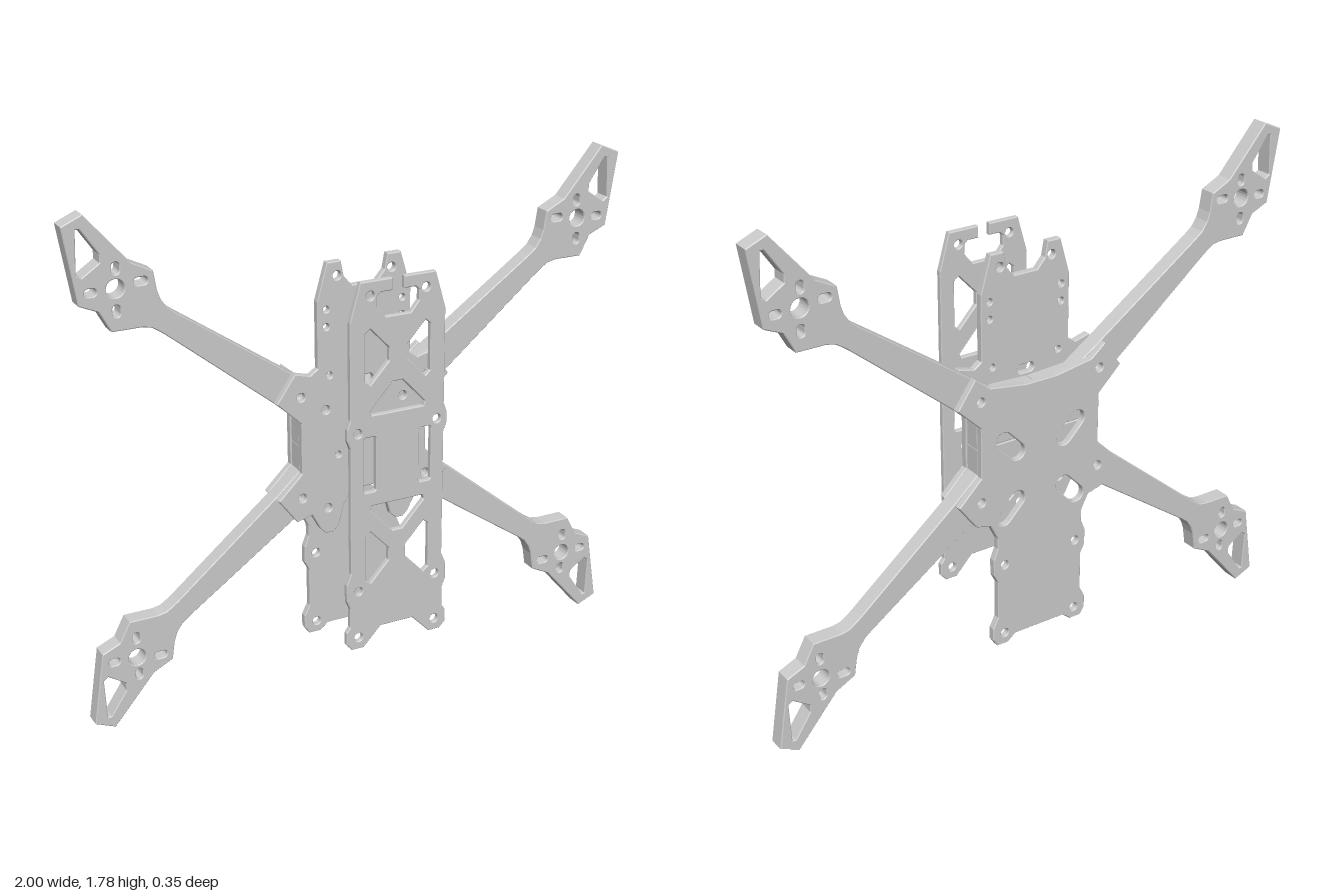
import * as THREE from 'three';

const material = new THREE.MeshStandardMaterial({ color: 0xcccccc });
const CY = 0.895; // height of the arm cross centre
const EDGE = 0.003; // small chamfer on every cut edge

// Closed path from a list of [x, y] points
const trace = (path, pts) => {
  pts.forEach(([x, y], i) => (i ? path.lineTo(x, y) : path.moveTo(x, y)));
  path.closePath();
  return path;
};
const poly = (pts) => trace(new THREE.Path(), pts);
const flipX = (pts) => pts.map(([x, y]) => [-x, y]);
const circle = (x, y, r) => new THREE.Path().absarc(x, y, r, 0, Math.PI * 2, true);

// Round-ended slot of centre length len, radius r, turned by angle a
function slot(x, y, len, r, a) {
  const dx = Math.cos(a) * len / 2, dy = Math.sin(a) * len / 2;
  const p = new THREE.Path();
  p.absarc(x + dx, y + dy, r, a - Math.PI / 2, a + Math.PI / 2, false);
  p.absarc(x - dx, y - dy, r, a + Math.PI / 2, a + Math.PI * 1.5, false);
  p.closePath();
  return p;
}

// Holes repeated on both sides of the centre line
const pairs = (list, r) => list.flatMap(([x, y]) => [circle(x, y, r), circle(-x, y, r)]);
const bothSides = (pts) => [poly(pts), poly(flipX(pts))];

// Full outline from the right half, listed from top centre to bottom centre
const symmetric = (half) => [...half, ...flipX(half).reverse()];

// Flat cut plate between two depths; the outline is always run anticlockwise
function plate(name, outline, holes, z0, z1) {
  const clockwise = THREE.ShapeUtils.isClockWise(outline.map(([x, y]) => ({ x, y })));
  const shape = trace(new THREE.Shape(), clockwise ? [...outline].reverse() : outline);
  shape.holes.push(...holes);
  const geo = new THREE.ExtrudeGeometry(shape, {
    depth: z1 - z0 - 2 * EDGE, curveSegments: 10,
    bevelSize: EDGE, bevelThickness: EDGE, bevelOffset: -EDGE, bevelSegments: 1,
  });
  geo.translate(0, 0, z0 + EDGE);
  const mesh = new THREE.Mesh(geo, material);
  mesh.name = name;
  return mesh;
}

// One arm with its motor mount, mirrored by sx and sy
function arm(name, sx, sy) {
  const m = (pts) => pts.map(([x, y]) => [sx * x, CY + sy * (y - CY)]);
  const at = (x, y) => m([[x, y]])[0];
  const outline = m([
    [0.001, CY + 0.001], [0.232, CY + 0.001], [0.232, 0.985], [0.32, 1.065], [0.685, 1.365],
    [0.705, 1.38], [0.73, 1.396], [0.76, 1.402], [0.86, 1.402], [0.897, 1.472], [0.96, 1.50],
    [1.0, 1.755], [0.93, 1.785], [0.785, 1.615], [0.715, 1.58], [0.705, 1.515],
    [0.695, 1.485], [0.675, 1.455], [0.65, 1.435], [0.255, 1.16], [0.15, 1.088], [0.001, 1.08],
  ]);
  const window = m([[0.955, 1.74], [0.942, 1.74], [0.885, 1.655], [0.885, 1.628], [0.945, 1.588], [0.961, 1.60]]);
  const holes = [
    poly(window),
    circle(...at(0.84, 1.54), 0.03),
    circle(...at(0.235, 1.08), 0.015),
    slot(...at(0.836, 1.604), 0.014, 0.013, Math.PI / 2),
    slot(...at(0.84, 1.467), 0.014, 0.013, Math.PI / 2),
    slot(...at(0.757, 1.552), 0.02, 0.013, 0),
    slot(...at(0.92, 1.538), 0.014, 0.013, 0),
  ];
  return plate(name, outline, holes, -0.146, -0.085);
}

export function createModel() {
  const group = new THREE.Group();
  const armBolts = [[0.235, 1.08], [0.235, 0.715]];

  // Four arms clamped between the lower plates
  for (const sx of [1, -1]) for (const sy of [1, -1])
    group.add(arm((sy > 0 ? 'upper' : 'lower') + (sx > 0 ? 'Left' : 'Right') + 'Arm', sx, sy));

  // Front deck plate with hooked notch and truss windows
  const deck = symmetric([
    [0.021, 1.528], [0.135, 1.528], [0.172, 1.40], [0.172, 1.07], [0.183, 1.04], [0.183, 1.0],
    [0.172, 0.97], [0.172, 0.52], [0.188, 0.48], [0.188, 0.42], [0.176, 0.39], [0.176, 0.32],
    [0.19, 0.30], [0.19, 0.255], [0.17, 0.232], [0.125, 0.232], [0.06, 0.30],
  ]);
  // hooked notch at the top edge
  deck.push([-0.021, 1.487], [-0.062, 1.487], [-0.075, 1.475], [-0.075, 1.44], [-0.045, 1.403],
    [0.045, 1.403], [0.075, 1.44], [0.075, 1.475], [0.062, 1.487], [0.021, 1.487]);
  const truss = (y) => [[0.118, y + 0.08], [0.1, y + 0.095], [0.032, y + 0.022],
    [0.032, y - 0.022], [0.1, y - 0.095], [0.118, y - 0.08]];
  const triangle = (y, s) => [[-0.018, y + s * 0.05], [0.018, y + s * 0.05], [0.1, y - s * 0.04],
    [0.095, y - s * 0.055], [-0.095, y - s * 0.055], [-0.1, y - s * 0.04]];
  group.add(plate('deckPlate', deck, [
    ...pairs([[0.1, 1.48], [0.145, 1.02], [0.145, 0.45], [0.145, 0.275]], 0.015),
    ...bothSides(truss(1.275)), ...bothSides(truss(0.565)),
    poly(triangle(1.13, 1)), poly(triangle(0.7, -1)),
    ...bothSides([[0.085, 1.0], [0.118, 1.0], [0.124, 0.994], [0.124, 0.811], [0.118, 0.805],
      [0.085, 0.805], [0.079, 0.811], [0.079, 0.994]]),
  ], 0.156, 0.177));

  // Middle plate with two horns above the arms and a notch below
  const middle = symmetric([
    [0.045, 1.44], [0.075, 1.475], [0.085, 1.528], [0.135, 1.528], [0.172, 1.40], [0.172, 1.17],
    [0.2, 1.15], [0.255, 1.165], [0.322, 1.07], [0.235, 0.985], [0.235, 0.805],
    [0.322, 0.72], [0.255, 0.63], [0.2, 0.645], [0.168, 0.585], [0.15, 0.566],
    [0.12, 0.566], [0.1, 0.585], [0.08, 0.66], [0.045, 0.712],
  ]);
  group.add(plate('middlePlate', middle, [
    ...pairs([...armBolts, [0.1, 1.48], [0.145, 1.02], [0.14, 0.66]], 0.015),
    ...pairs([[0.1, 0.85], [0.14, 1.37], [0.14, 1.31], [0.13, 1.14]], 0.011),
    slot(0, 1.105, 0.035, 0.016, 0),
  ], -0.084, -0.057));

  // Rear plate with tail and four strap slots
  const rear = symmetric([
    [0.06, 1.098], [0.2, 1.12], [0.255, 1.165], [0.322, 1.07], [0.235, 0.985], [0.235, 0.805],
    [0.322, 0.72], [0.255, 0.63], [0.2, 0.615], [0.172, 0.56], [0.172, 0.52], [0.188, 0.48],
    [0.188, 0.42], [0.172, 0.39], [0.172, 0.25], [0.192, 0.21], [0.192, 0.165], [0.175, 0.138],
    [0.13, 0.138], [0.1, 0.163],
  ]);
  const straps = [1, -1].flatMap((sx) => [1, -1].map((sy) =>
    slot(sx * 0.12, 0.775 + sy * 0.115, 0.075, 0.03, sx * sy * 0.8)));
  group.add(plate('rearPlate', rear, [
    ...pairs([...armBolts, [0.145, 0.45], [0.145, 0.18]], 0.015),
    ...straps,
  ], -0.175, -0.148));

  return group;
}
